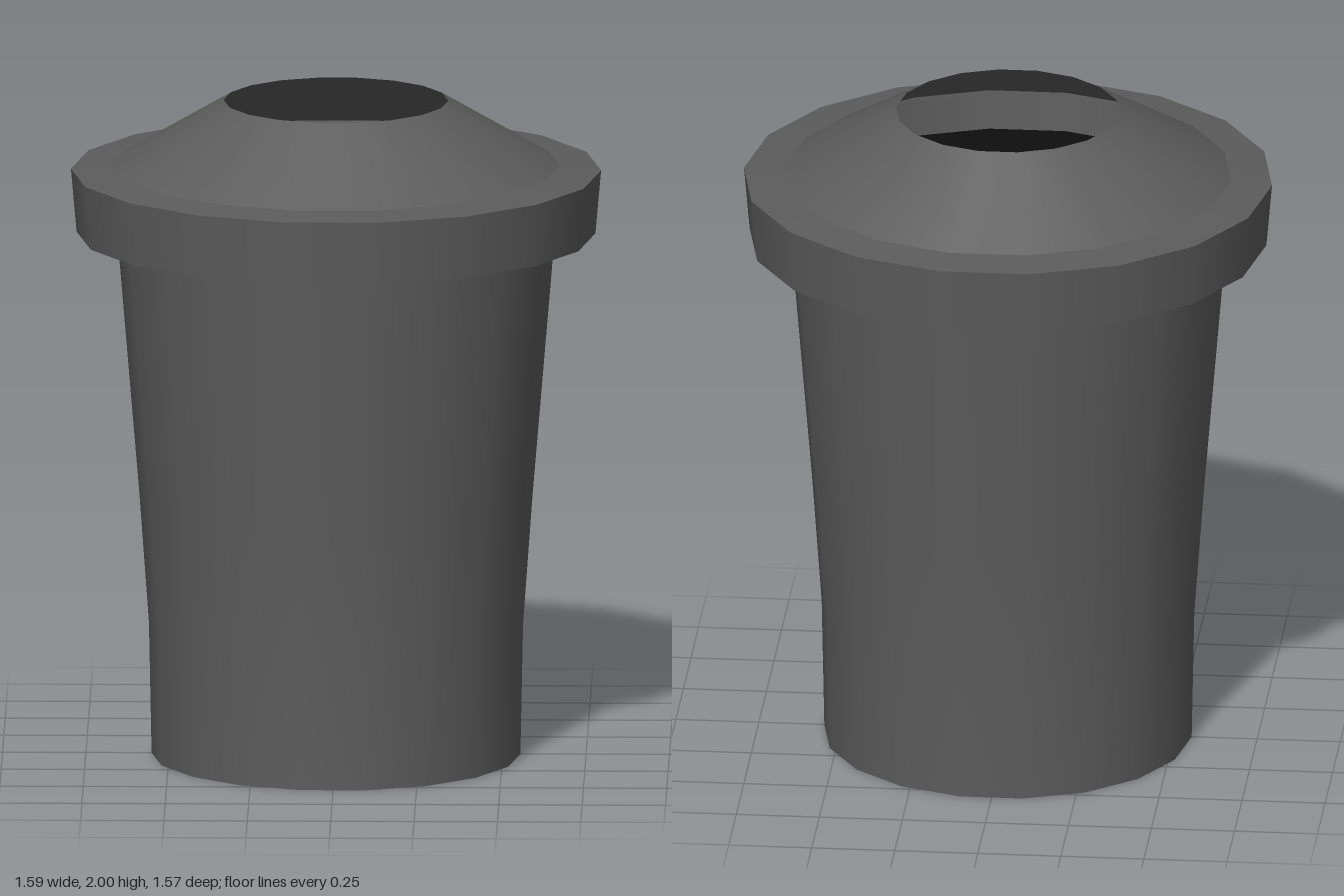
import * as THREE from 'three';

const SIDES = 18;
const shell = new THREE.MeshStandardMaterial({ color: 0x5c5c5c, side: THREE.DoubleSide });
const dark = new THREE.MeshStandardMaterial({ color: 0x0e0e0e, side: THREE.DoubleSide });

// Revolved surface with a corner on the x axis; profile is [radius, y] pairs
function turned(name, profile, material = shell) {
  const points = profile.map(([r, y]) => new THREE.Vector2(r, y));
  const mesh = new THREE.Mesh(new THREE.LatheGeometry(points, SIDES, Math.PI / 2), material);
  mesh.name = name;
  return mesh;
}

export function createModel() {
  const model = new THREE.Group();
  model.name = 'liddedContainer';

  // Tapering body, closed at the bottom and continuing up inside the lid
  const body = new THREE.Group();
  body.name = 'body';
  body.add(
    turned('bodyBase', [[0, 0], [0.553, 0]]),
    turned('bodyWall', [[0.553, 0], [0.561, 0.4], [0.59, 0.8], [0.657, 1.6], [0.672, 1.79]])
  );

  // Lid: overhanging rim and a sloping top with an open mouth
  const lid = new THREE.Group();
  lid.name = 'lid';
  lid.add(
    turned('rimUnderside', [[0.655, 1.595], [0.778, 1.595]]),
    turned('rimBand', [[0.778, 1.595], [0.795, 1.788]]),
    turned('rimTop', [[0.795, 1.788], [0.672, 1.8]]),
    turned('lidSlope', [[0.672, 1.8], [0.337, 2]])
  );

  // Dark surface seen through the mouth
  const filling = turned('darkFilling', [[0.662, 1.68], [0, 1.68]], dark);

  model.add(body, lid, filling);
  return model;
}
